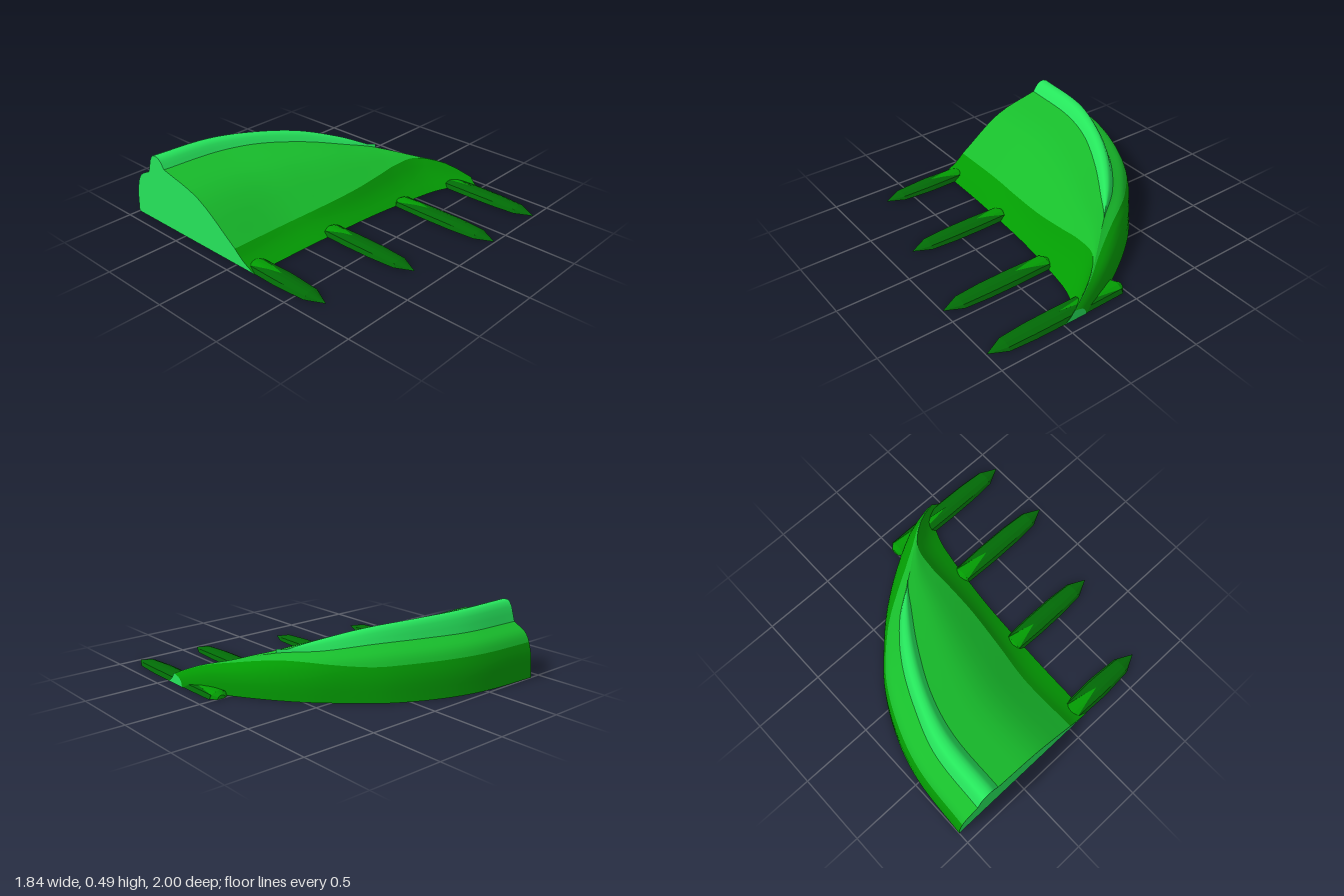
import * as THREE from 'three';

function paint(name, color) {
  const material = new THREE.MeshStandardMaterial({ color });
  material.name = name;
  return material;
}
const lime = paint('lightGreen', 0x26e65c);
const mid = paint('midGreen', 0x18be2c);
const dark = paint('darkGreen', 0x039c03);
const deep = paint('deepGreen', 0x026a06);

// Stations along x: [x, front z, band z, band y, ridge inner z, y, ridge top y, ridge outer z, y, back z]
const STATIONS = [
  [-0.92, 0.16, -0.01, 0.11, -0.67, 0.42, 0.48, -0.84, 0.35, -1.0],
  [-0.5, 0.17, -0.01, 0.105, -0.65, 0.41, 0.47, -0.81, 0.35, -0.97],
  [-0.2, 0.185, 0.025, 0.125, -0.57, 0.395, 0.45, -0.71, 0.345, -0.89],
  [0.1, 0.205, 0.055, 0.15, -0.42, 0.355, 0.41, -0.56, 0.33, -0.74],
  [0.35, 0.235, 0.06, 0.175, -0.26, 0.3, 0.338, -0.36, 0.29, -0.53],
  [0.52, 0.26, 0.06, 0.19, -0.14, 0.26, 0.268, -0.14, 0.26, -0.36],
  [0.7, 0.3, 0.1, 0.192, 0.07, 0.2, 0.2, 0.07, 0.2, -0.12],
  [0.85, 0.38, 0.267, 0.143, 0.26, 0.145, 0.145, 0.26, 0.145, 0.14],
  [0.92, 0.49, 0.424, 0.068, 0.42, 0.07, 0.07, 0.42, 0.07, 0.33],
];
const RIDGE_END = 0.52;

// Smooth interpolation of one station column at x
function sample(x, col) {
  const n = STATIONS.length;
  let k = 0;
  while (k < n - 2 && x > STATIONS[k + 1][0]) k++;
  const slope = (i) => {
    const a = STATIONS[Math.max(i - 1, 0)], b = STATIONS[Math.min(i + 1, n - 1)];
    return (b[col] - a[col]) / (b[0] - a[0]);
  };
  const p = STATIONS[k], q = STATIONS[k + 1], h = q[0] - p[0];
  const t = (x - p[0]) / h, t2 = t * t, t3 = t2 * t;
  return (2 * t3 - 3 * t2 + 1) * p[col] + (t3 - 2 * t2 + t) * h * slope(k)
    + (3 * t2 - 2 * t3) * q[col] + (t3 - t2) * h * slope(k + 1);
}

// Cross-section at x, split into its bands, running from front over the top to the back
function section(x) {
  const [zf, z1, y1, zi0, yi0, yt, zo, yo, zb] = [1, 2, 3, 4, 5, 6, 7, 8, 9].map((c) => sample(x, c));
  const past = x > RIDGE_END - 1e-6;
  const zi = past ? zo : zi0, yi = past ? yo : yi0;
  const mix = THREE.MathUtils.lerp;
  const spline = (pts) => new THREE.CatmullRomCurve3(pts.map(([z, y]) => new THREE.Vector3(x, y, z)));
  const back = spline([[zo, yo], [mix(zo, zb, 0.62), yo * 0.83], [mix(zo, zb, 0.91), yo * 0.5], [zb, 0]]);
  // the dark back band widens until it covers the whole tip
  const split = 0.5 - 0.47 * THREE.MathUtils.smoothstep(x, 0.1, 0.85);
  const part = (a, b) => Array.from({ length: 8 }, (_, i) => back.getPoint(mix(a, b, i / 7)));
  return {
    frontBand: spline([[zf, 0], [mix(zf, z1, 0.6), y1 * 0.47], [z1, y1]]).getPoints(4),
    frontSlope: spline([[z1, y1], [mix(z1, zi, 0.5), mix(y1, yi, 0.72)], [zi, yi]]).getPoints(8),
    ridge: spline([[zi, yi], [mix(zi, zo, 0.3), yt], [mix(zi, zo, 0.7), yt], [zo, yo]]).getPoints(9),
    backSlope: part(0, split),
    backBand: part(split, 1),
    underside: [new THREE.Vector3(x, 0, zb), new THREE.Vector3(x, 0, zf)],
  };
}

// Skin a list of equally long point rows
function loft(rows, flat = false) {
  const w = rows[0].length, index = [];
  for (let i = 0; i < rows.length - 1; i++) {
    for (let j = 0; j < w - 1; j++) {
      const a = i * w + j, b = a + w;
      index.push(a, b, a + 1, b, b + 1, a + 1);
    }
  }
  let geo = new THREE.BufferGeometry().setFromPoints(rows.flat());
  geo.setIndex(index);
  if (flat) geo = geo.toNonIndexed();
  geo.computeVertexNormals();
  return geo;
}

function add(parent, name, geo, material) {
  const mesh = new THREE.Mesh(geo, material);
  mesh.name = name;
  parent.add(mesh);
}

// Flat end closing the shell; side is -1 or +1 along x
function endCap(s, side) {
  const pts = [...s.frontBand, ...s.frontSlope.slice(1), ...(side < 0 ? s.ridge.slice(1) : []),
    ...s.backSlope.slice(1), ...s.backBand.slice(1)];
  const shape = new THREE.Shape(pts.map((p) => new THREE.Vector2(-side * p.z, p.y)));
  return new THREE.ShapeGeometry(shape).rotateY(side * Math.PI / 2).translate(side * 0.92, 0, 0);
}

// Low faceted claw lying on the ground: brighter root with a pointed edge, then the deep green blade
function addClaw(parent, name, x, z0, z1, zPoint) {
  const outline = [[-0.076, 0], [-0.06, 0.028], [-0.025, 0.044], [0, 0.047], [0.025, 0.044], [0.06, 0.028],
    [0.076, 0], [-0.076, 0]];
  const row = (z, w, h) => outline.map(([px, py]) => new THREE.Vector3(x + px * w, py * h, z));
  const zSide = z0 + 0.04;
  const edge = outline.map(([px, py]) => new THREE.Vector3(x + px * 0.92, py * 0.98,
    zSide + (zPoint - zSide) * Math.max(0, 1 - Math.abs(px) / 0.06)));
  const claw = new THREE.Group();
  claw.name = name;
  parent.add(claw);
  add(claw, 'root', loft([row(z0, 0, 0), row(z0 + 0.005, 0.4, 0.5), row(zSide, 0.88, 0.9), edge], true), dark);
  add(claw, 'blade', loft([edge, row(zPoint + 0.01, 1, 1), row(z1 - 0.3, 0.97, 0.95),
    row(z1 - 0.12, 0.8, 0.75), row(z1, 0, 0)], true), deep);
}

export function createModel() {
  const model = new THREE.Group();
  model.name = 'clawedFoot';

  // Curved shell, one mesh per colour band
  const shell = new THREE.Group();
  shell.name = 'shell';
  model.add(shell);
  const sections = [];
  for (let i = 0; i <= 46; i++) sections.push(section(-0.92 + 0.04 * i));
  const bands = { frontBand: dark, frontSlope: mid, ridge: lime, backSlope: mid, backBand: dark, underside: deep };
  for (const [name, material] of Object.entries(bands)) {
    const used = name === 'ridge' ? sections.slice(0, 37) : sections;
    add(shell, name, loft(used.map((s) => s[name])), material);
  }
  add(shell, 'cutEnd', endCap(sections[0], -1), lime);
  add(shell, 'tipEnd', endCap(sections[46], 1), lime);

  // Claws along the front edge
  const claws = new THREE.Group();
  claws.name = 'claws';
  model.add(claws);
  [[-0.845, 0.05, 0.685, 0.32], [-0.233, 0.1, 0.84, 0.33], [0.383, 0.19, 0.995, 0.46], [0.843, -0.01, 0.995, 0.48]]
    .forEach(([x, z0, z1, zPoint], i) => addClaw(claws, `claw${i + 1}`, x, z0, z1, zPoint));

  return model;
}
